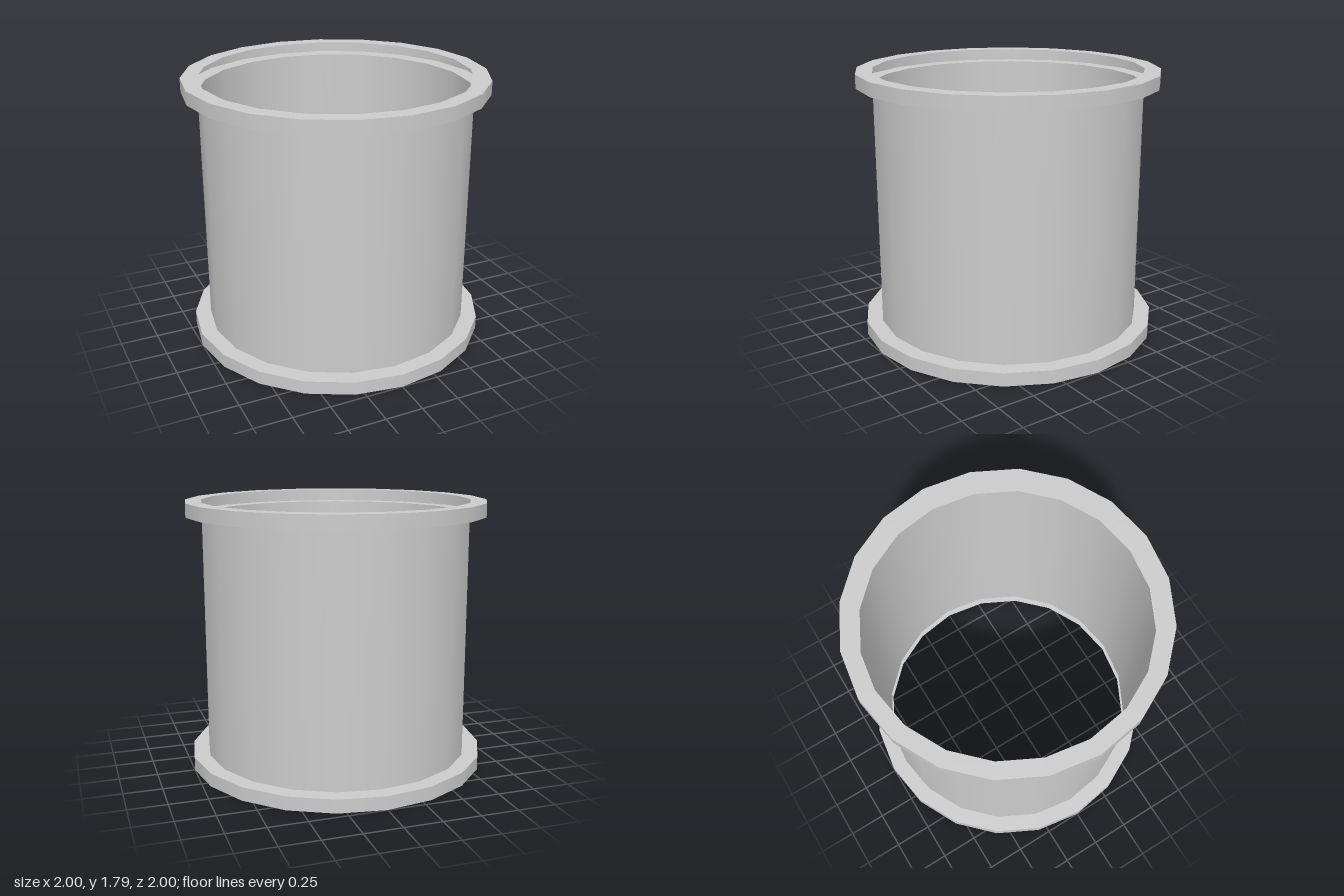
import * as THREE from 'three';

const SIDES = 20;
const OUTER = 1;
const INNER = 0.893;
const HEIGHT = 1.786;
const RIM = 0.09;

const material = new THREE.MeshStandardMaterial({ color: 0xcccccc, side: THREE.DoubleSide });

// Open-ended wall with smooth normals, standing on height y
function wall(name, radius, height, y) {
  const geometry = new THREE.CylinderGeometry(radius, radius, height, SIDES, 1, true);
  const mesh = new THREE.Mesh(geometry, material);
  mesh.name = name;
  mesh.position.y = y + height / 2;
  return mesh;
}

// Flat annulus facing up (+1) or down (-1)
function annulus(name, y, facing) {
  const geometry = new THREE.RingGeometry(INNER, OUTER, SIDES).rotateX(-facing * Math.PI / 2);
  const mesh = new THREE.Mesh(geometry, material);
  mesh.name = name;
  mesh.position.y = y;
  return mesh;
}

// Flange: outer wall and two annuli, open towards the bore
function flange(name, y) {
  const group = new THREE.Group();
  group.name = name;
  group.add(
    wall('flangeRim', OUTER, RIM, y),
    annulus('flangeTopFace', y + RIM, 1),
    annulus('flangeBottomFace', y, -1)
  );
  return group;
}

export function createModel() {
  const model = new THREE.Group();
  model.name = 'flangedPipe';
  model.add(
    wall('pipeWall', INNER, HEIGHT - 2 * RIM, RIM),
    flange('bottomFlange', 0),
    flange('topFlange', HEIGHT - RIM)
  );
  return model;
}
